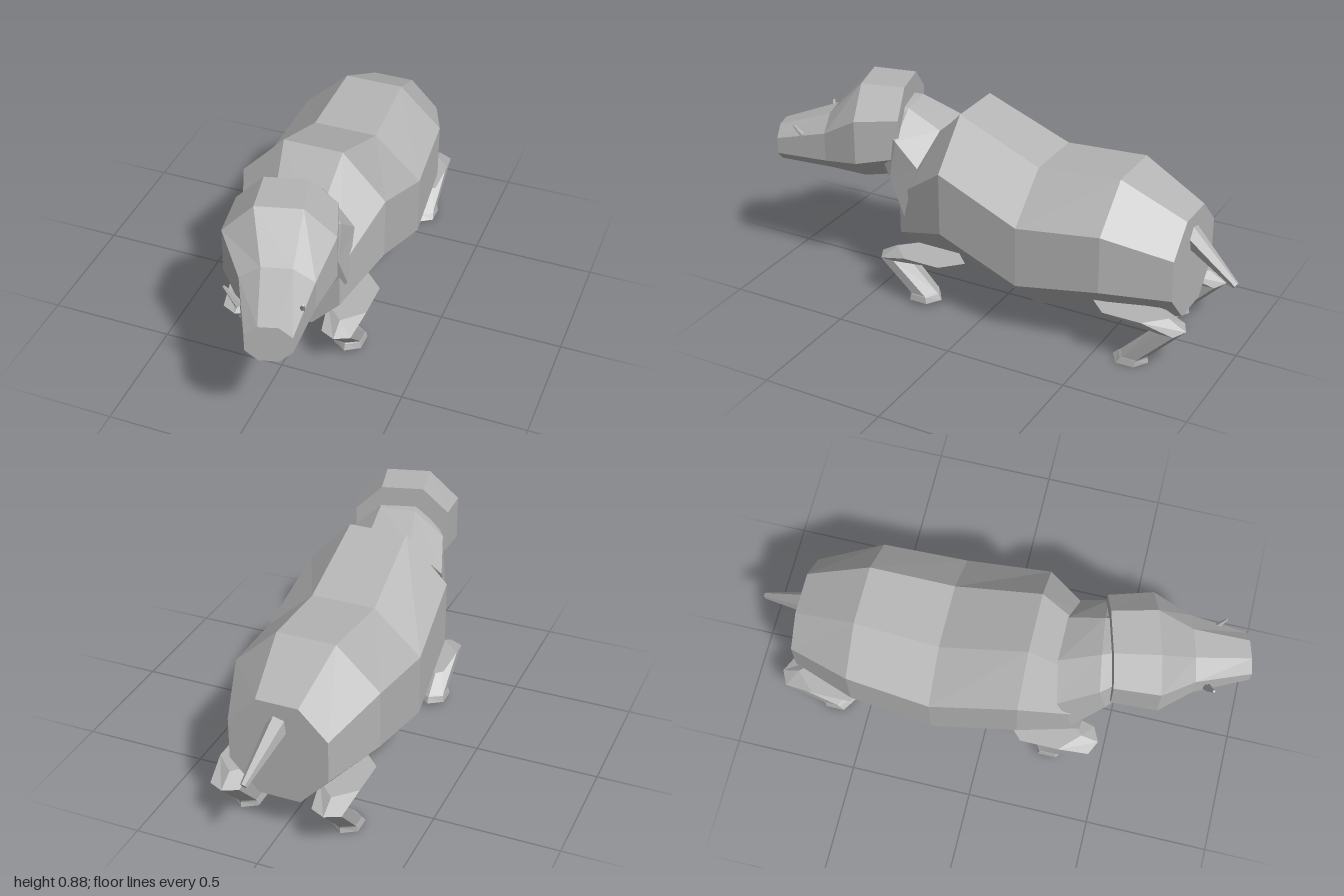
import * as THREE from 'three';

const V = (x, y, z) => new THREE.Vector3(x, y, z);

// Closed loft through rings of equal point count, capped at both ends, facing outward.
function loft(rings) {
  const n = rings[0].length;
  const tris = [];
  for (let r = 0; r < rings.length - 1; r++) {
    for (let i = 0; i < n; i++) {
      const j = (i + 1) % n;
      const a = rings[r][i], b = rings[r][j], c = rings[r + 1][j], d = rings[r + 1][i];
      tris.push([a, b, c], [a, c, d]);
    }
  }
  const last = rings[rings.length - 1];
  for (let i = 1; i < n - 1; i++) {
    tris.push([rings[0][0], rings[0][i + 1], rings[0][i]]);
    tris.push([last[0], last[i], last[i + 1]]);
  }
  let volume = 0;
  for (const [a, b, c] of tris) volume += a.dot(b.clone().cross(c));
  const points = tris.flatMap(([a, b, c]) => (volume < 0 ? [a, c, b] : [a, b, c]));
  const geometry = new THREE.BufferGeometry().setFromPoints(points);
  geometry.computeVertexNormals();
  return geometry;
}

// Octagonal section: y and z are given at four levels (top, upper, lower, bottom).
function octagon({ x = 0, z, y, w, t = w * 0.42, yaw = 0 }) {
  const zs = Array.isArray(z) ? z : [z, z, z, z];
  const us = [t, w, w, t];
  const at = (i, s) => V(x + s * us[i] * Math.cos(yaw), y[i], zs[i] - s * us[i] * Math.sin(yaw));
  return [0, 1, 2, 3].map(i => at(i, 1)).concat([3, 2, 1, 0].map(i => at(i, -1)));
}

// Horizontal hexagon with its points toward front and back.
function hexagon([y, z, w, hz], x) {
  return [[0, 1], [1, 0.5], [1, -0.5], [0, -1], [-1, -0.5], [-1, 0.5]]
    .map(([u, v]) => V(x + u * w, y, z + v * hz));
}

// Tapered rod between two points.
function rod(from, to, r0, r1, sides) {
  const dir = to.clone().sub(from);
  const g = new THREE.CylinderGeometry(r1, r0, dir.length(), sides);
  g.applyQuaternion(new THREE.Quaternion().setFromUnitVectors(V(0, 1, 0), dir.normalize()));
  const mid = from.clone().add(to).multiplyScalar(0.5);
  return g.translate(mid.x, mid.y, mid.z);
}

export function createModel() {
  const group = new THREE.Group();
  const grey = new THREE.MeshStandardMaterial({ color: 0xb4b4b4 });
  grey.name = 'grey';
  grey.flatShading = true;
  const add = (name, geometry) => {
    const mesh = new THREE.Mesh(geometry, grey);
    mesh.name = name;
    group.add(mesh);
  };

  // Barrel body, from rump to chest
  add('body', loft([
    { z: -0.8, w: 0.2, t: 0.085, y: [0.575, 0.46, 0.29, 0.165] },
    { z: -0.54, w: 0.295, t: 0.12, y: [0.705, 0.54, 0.305, 0.14] },
    { z: -0.2, w: 0.32, t: 0.13, y: [0.68, 0.505, 0.255, 0.08] },
    { z: 0.15, w: 0.295, t: 0.12, y: [0.825, 0.64, 0.38, 0.195] },
    { z: 0.39, w: 0.2, t: 0.085, y: [0.575, 0.46, 0.285, 0.16] },
  ].map(octagon)));

  // Neck, with its wide collar poking out of the shoulders
  add('neck', loft([
    { z: [0.26, 0.29, 0.36, 0.395], w: 0.222, t: 0.09, y: [0.72, 0.6, 0.38, 0.24] },
    { x: 0.02, z: [0.41, 0.42, 0.45, 0.46], w: 0.19, t: 0.075, yaw: 0.12, y: [0.79, 0.69, 0.53, 0.42] },
    { x: 0.04, z: [0.48, 0.49, 0.51, 0.53], w: 0.15, t: 0.07, yaw: 0.25, y: [0.8, 0.71, 0.58, 0.5] },
  ].map(octagon)));

  // Head turned toward its left, from nape to snout
  add('head', loft([
    { x: 0.012, z: 0.44, w: 0.19, t: 0.085, yaw: 0.27, y: [0.875, 0.775, 0.61, 0.5] },
    { x: 0.052, z: 0.615, w: 0.21, t: 0.09, yaw: 0.27, y: [0.875, 0.758, 0.575, 0.47] },
    { x: 0.1, z: 0.755, w: 0.138, t: 0.058, yaw: 0.27, y: [0.72, 0.665, 0.545, 0.478] },
    { x: 0.157, z: 0.975, w: 0.086, t: 0.037, yaw: 0.29, y: [0.64, 0.597, 0.53, 0.485] },
  ].map(octagon)));

  // Small tusks on the sides of the snout
  add('rightTusk', rod(V(-0.015, 0.585, 0.84), V(-0.058, 0.675, 0.865), 0.017, 0.005, 5));
  add('leftTusk', rod(V(0.215, 0.6, 0.81), V(0.243, 0.675, 0.86), 0.017, 0.005, 5));

  // Legs: rows of height, z, half width, half depth from hip to sole
  const frontLeg = [
    [0.22, 0.245, 0.08, 0.158], [0.183, 0.418, 0.06, 0.057], [0.05, 0.28, 0.052, 0.06],
    [0.045, 0.278, 0.054, 0.066], [0.02, 0.277, 0.058, 0.077],
  ];
  const hindLeg = [
    [0.22, -0.635, 0.08, 0.16], [0.18, -0.81, 0.06, 0.057], [0.03, -0.662, 0.052, 0.058],
    [0.022, -0.655, 0.054, 0.062], [0, -0.645, 0.058, 0.075],
  ];
  for (const [side, x] of [['left', 0.207], ['right', -0.207]]) {
    add(side + 'FrontLeg', loft(frontLeg.map(row => hexagon(row, x))));
    add(side + 'HindLeg', loft(hindLeg.map(row => hexagon(row, x))));
  }

  // Tail
  add('tail', rod(V(0, 0.49, -0.77), V(0.045, 0.333, -0.993), 0.046, 0.014, 6));

  return group;
}
